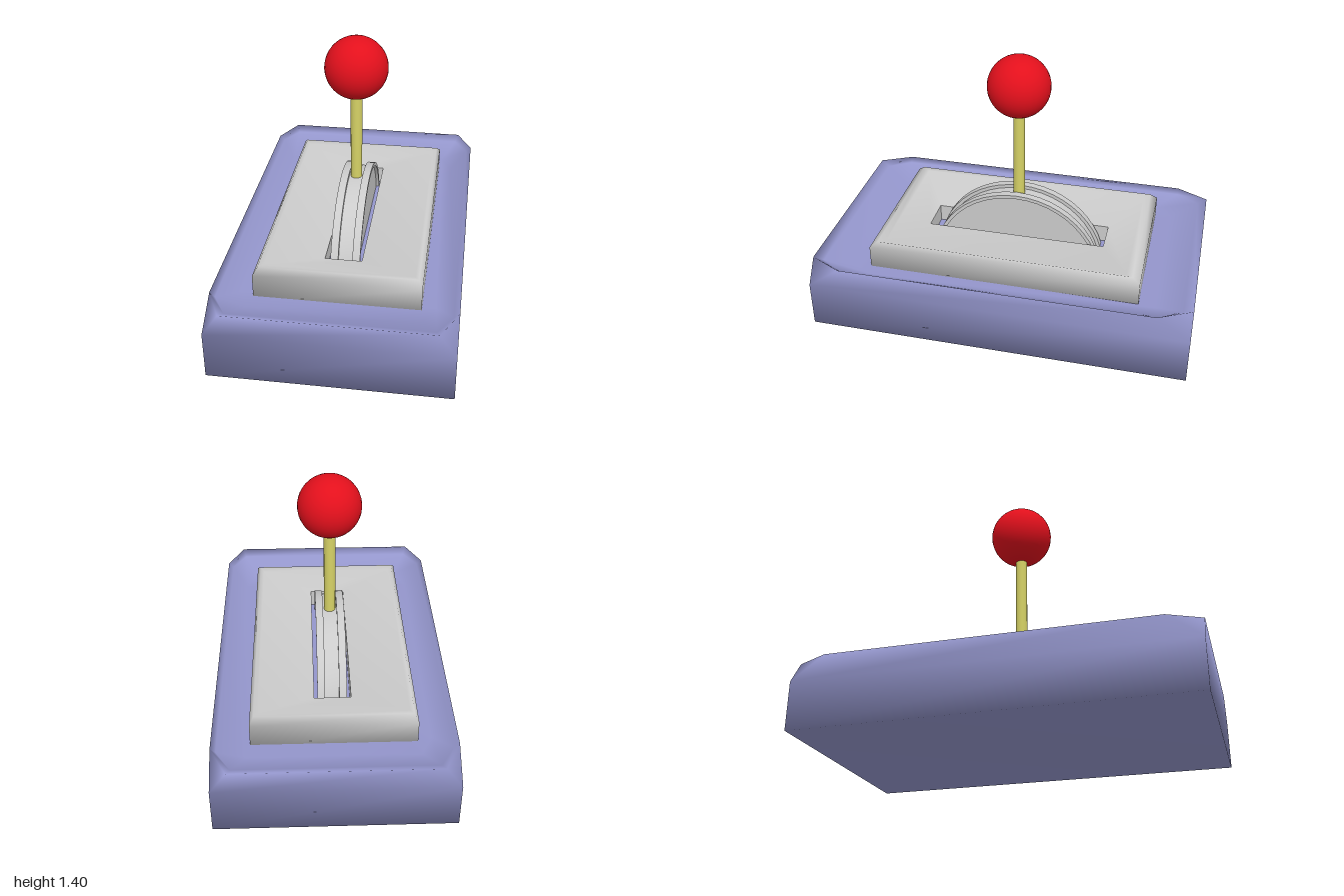
import * as THREE from 'three';
import { mergeVertices, toCreasedNormals } from 'three/addons/utils/BufferGeometryUtils.js';

const paint = (color) => new THREE.MeshStandardMaterial({ color });

// Rectangle with cut corners at height y (half sizes w, d; corner cuts cx, cz)
function loop(y, w, d, cx = 0, cz = 0) {
  const a = w - cx, b = d - cz;
  return [[w, b], [w, -b], [a, -d], [-a, -d], [-w, -b], [-w, b], [-a, d], [a, d]]
    .map(([x, z]) => [x, y, z]);
}

// Smooth skin through a stack of loops, optionally capped at each end
function loft(loops, capFirst, capLast) {
  const n = loops[0].length, index = [], last = (loops.length - 1) * n;
  for (let k = 0; k < loops.length - 1; k++) {
    for (let i = 0; i < n; i++) {
      const a = k * n + i, b = k * n + (i + 1) % n;
      index.push(a, b, b + n, a, b + n, a + n);
    }
  }
  for (let i = 1; i < n - 1; i++) {
    if (capFirst) index.push(0, i + 1, i);
    if (capLast) index.push(last, last + i, last + i + 1);
  }
  const geometry = new THREE.BufferGeometry();
  geometry.setAttribute('position', new THREE.Float32BufferAttribute(loops.flat(2), 3));
  geometry.setIndex(index);
  const merged = mergeVertices(geometry);
  merged.computeVertexNormals();
  return merged;
}

export function createModel() {
  const model = new THREE.Group();
  const blue = paint(0x9496cc), grey = paint(0xcccccc);
  const add = (name, geometry, material, y = 0) => {
    const mesh = new THREE.Mesh(geometry, material);
    mesh.name = name;
    mesh.position.y = y;
    model.add(mesh);
    return mesh;
  };

  // Base: square foot, cut upper corners, shallow recess on top
  add('base', loft([
    loop(0, 0.607, 1),
    loop(0.25, 0.607, 1),
    loop(0.375, 0.607, 1, 0.085, 0.17),
    loop(0.35, 0.58, 0.95, 0.075, 0.12),
    loop(0.29, 0.49, 0.81, 0.06, 0.115),
  ], true, true), blue);

  // Plate: raised bevelled rim, inner faces sloping down to the slot
  add('plate', loft([
    loop(0.25, 0.42, 0.72),
    loop(0.41, 0.42, 0.72),
    loop(0.44, 0.4, 0.68),
    loop(0.43, 0.38, 0.645),
    loop(0.385, 0.095, 0.485),
  ], true, false), grey);

  // Slot well below the plate
  add('slot', toCreasedNormals(loft([
    loop(0.385, 0.095, 0.485),
    loop(0.2, 0.095, 0.485),
  ], false, true), 0.5), grey);

  // Half wheel: flanged rim with a centre groove and inset side faces
  const R = 0.472, r = 0.453;
  const profile = [[0, -0.06], [r, -0.06], [r, -0.077], [R, -0.077], [R, -0.037], [r, -0.037],
    [r, 0.037], [R, 0.037], [R, 0.077], [r, 0.077], [r, 0.06], [0, 0.06]]
    .map(([radius, x]) => new THREE.Vector2(radius, x));
  const wheel = new THREE.LatheGeometry(profile, 24, 0, Math.PI).rotateZ(Math.PI / 2);
  add('pivotWheel', toCreasedNormals(wheel, 0.6), grey, 0.153);

  // Lever rod and ball knob
  add('leverRod', new THREE.CylinderGeometry(0.031, 0.031, 0.54, 16), paint(0xd6d266), 0.86);
  add('knob', new THREE.SphereGeometry(0.165, 32, 24), paint(0xe3101c), 1.24);

  return model;
}
